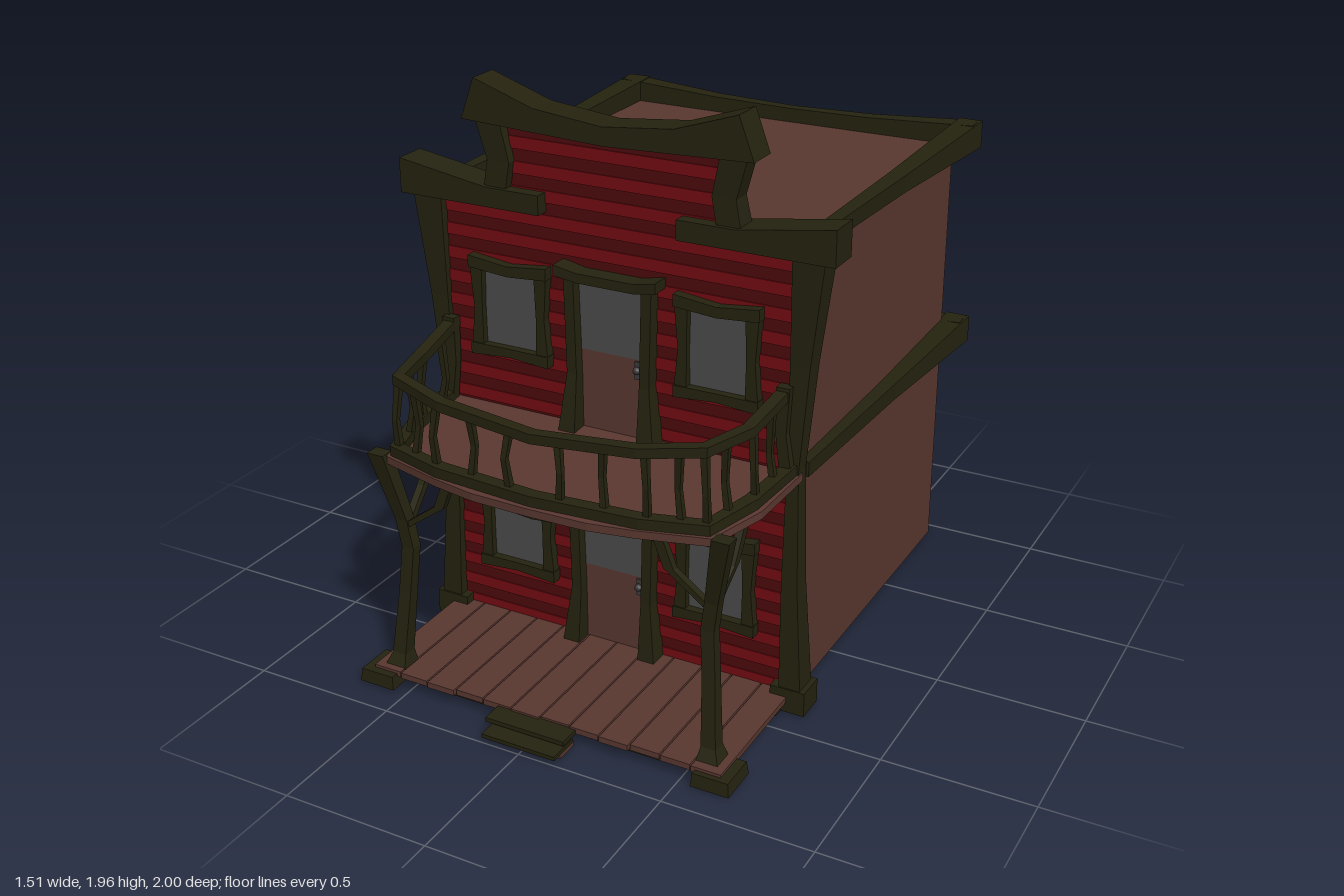
import * as THREE from 'three';

const mat = (name, color) => {
  const m = new THREE.MeshStandardMaterial({ color });
  m.name = name;
  return m;
};

export function createModel() {
  const root = new THREE.Group();
  root.name = 'timberHouse';
  const wood = mat('brownWood', 0x5a3830);
  const trim = mat('darkTrim', 0x25230f);
  const red = mat('redSiding', 0x760c12);
  const darkRed = mat('darkRedSiding', 0x4f0a0d);
  const glass = mat('greyGlass', 0x4c4c4c);
  const metal = mat('greyMetal', 0x3c3c3e);

  const add = (name, geo, m) => {
    const mesh = new THREE.Mesh(geo, m);
    mesh.name = name;
    root.add(mesh);
    return mesh;
  };
  // box given by its limits
  const box = (name, m, x0, x1, y0, y1, z0, z1) =>
    add(name, new THREE.BoxGeometry(x1 - x0, y1 - y0, z1 - z0), m)
      .position.set((x0 + x1) / 2, (y0 + y1) / 2, (z0 + z1) / 2);

  // bent timber: stations [x, y, z, a, b]; upright: a = depth z, b = width x; lying: a = width, b = height
  const beam = (name, st, m = trim) => {
    const P = st.map(s => new THREE.Vector3(s[0], s[1], s[2]));
    const n = st.length;
    const chord = P[n - 1].clone().sub(P[0]);
    const upright = Math.abs(chord.y) > 0.5 * chord.length();
    const rings = st.map((s, i) => {
      const t = P[Math.min(i + 1, n - 1)].clone().sub(P[Math.max(i - 1, 0)]).setY(0).normalize();
      const v = upright ? new THREE.Vector3(1, 0, 0) : new THREE.Vector3(0, 1, 0);
      const u = upright ? new THREE.Vector3(0, 0, 1) : v.clone().cross(t);
      return [[-1, -1], [1, -1], [1, 1], [-1, 1]].map(([a, b]) =>
        P[i].clone().addScaledVector(u, a * s[3] / 2).addScaledVector(v, b * s[4] / 2));
    });
    const pts = [];
    const quad = (a, b, c, d) => pts.push(a, b, c, a, c, d);
    for (let i = 0; i < n - 1; i++)
      for (let j = 0; j < 4; j++) {
        const k = (j + 1) % 4;
        quad(rings[i][j], rings[i][k], rings[i + 1][k], rings[i + 1][j]);
      }
    const [f, l] = [rings[0], rings[n - 1]];
    quad(f[3], f[2], f[1], f[0]);
    quad(l[0], l[1], l[2], l[3]);
    const g = new THREE.BufferGeometry().setFromPoints(pts);
    g.computeVertexNormals();
    return add(name, g, m);
  };

  // flat outline in x, y extruded between two depths
  const slab = (name, m, outline, z0, z1) => {
    const shape = new THREE.Shape(outline.map(p => new THREE.Vector2(...p)));
    const g = new THREE.ExtrudeGeometry(shape, { depth: z1 - z0, bevelEnabled: false });
    return add(name, g.translate(0, 0, z0), m);
  };

  // main body and the back of the false front
  box('body', wood, -0.62, 0.62, 0.01, 1.54, -0.93, 0.34);
  box('gableBack', wood, -0.4, 0.4, 1.53, 1.82, 0.335, 0.35);

  // clapboard siding
  for (let y = 0.05, i = 0; y < 1.81; y += 0.04, i++) {
    const w = y > 1.53 ? 0.4 : 0.62, lit = i % 2 === 0;
    box('sidingBoard', lit ? red : darkRed, -w, w, y, Math.min(y + 0.04, 1.82), 0.34, lit ? 0.372 : 0.368);
  }

  // belts round the sides and back at both floors
  for (const y of [0.835, 1.565]) {
    for (const s of [-1, 1])
      beam('sideBelt', [[s * 0.632, y, 0.32, 0.04, 0.05], [s * 0.64, y, -0.35, 0.06, 0.058], [s * 0.658, y + 0.003, -1, 0.085, 0.095]]);
    beam('backBelt', [[-0.69, y + 0.003, -0.96, 0.08, 0.095], [-0.3, y, -0.945, 0.055, 0.06], [0, y, -0.94, 0.045, 0.05],
      [0.3, y, -0.945, 0.055, 0.06], [0.69, y + 0.003, -0.96, 0.08, 0.095]]);
  }

  for (const s of [-1, 1]) {
    // front corner posts
    box('cornerBase', trim, Math.min(s * 0.58, s * 0.7), Math.max(s * 0.58, s * 0.7), 0.005, 0.09, 0.305, 0.41);
    beam('cornerPost', [[s * 0.645, 0.08, 0.36, 0.09, 0.075], [s * 0.63, 0.45, 0.36, 0.07, 0.055], [s * 0.625, 0.85, 0.355, 0.055, 0.04],
      [s * 0.643, 1.2, 0.355, 0.07, 0.065], [s * 0.665, 1.55, 0.355, 0.09, 0.105]]);
    // sloping shoulder trim
    const shoulder = [[0.755, 1.655], [0.43, 1.605], [0.24, 1.605], [0.24, 1.54], [0.755, 1.54]];
    slab('shoulderTrim', trim, shoulder.map(([x, y]) => [s * x, y]), 0.3, 0.415);
    // gable posts
    beam('gablePost', [[s * 0.41, 1.58, 0.36, 0.08, 0.08], [s * 0.39, 1.69, 0.365, 0.07, 0.08], [s * 0.425, 1.83, 0.37, 0.07, 0.09]]);
  }
  slab('gableCap', trim, [[-0.5, 1.82], [-0.25, 1.81], [0, 1.8], [0.25, 1.81], [0.5, 1.82], [0.45, 1.955], [0.24, 1.885],
    [0, 1.86], [-0.24, 1.885], [-0.45, 1.955]], 0.32, 0.43);

  // windows
  for (const y of [0.4, 1.185])
    for (const x of [-0.37, 0.37]) {
      box('windowGlass', glass, x - 0.11, x + 0.11, y - 0.125, y + 0.13, 0.37, 0.378);
      beam('windowHead', [[x - 0.145, y + 0.16, 0.38, 0.055, 0.04], [x, y + 0.145, 0.38, 0.05, 0.035], [x + 0.145, y + 0.16, 0.38, 0.055, 0.04]]);
      beam('windowSill', [[x - 0.145, y - 0.14, 0.38, 0.055, 0.04], [x, y - 0.135, 0.38, 0.05, 0.03], [x + 0.145, y - 0.14, 0.38, 0.055, 0.04]]);
      for (const s of [-1, 1])
        beam('windowJamb', [[x + s * 0.122, y - 0.14, 0.38, 0.045, 0.045], [x + s * 0.116, y, 0.38, 0.04, 0.03], [x + s * 0.12, y + 0.15, 0.38, 0.045, 0.045]]);
    }

  // doors
  for (const y of [0.06, 0.835]) {
    box('doorPanel', wood, -0.135, 0.135, y, y + 0.275, 0.37, 0.379);
    box('doorGlass', glass, -0.135, 0.135, y + 0.275, y + 0.52, 0.37, 0.379);
    beam('doorHead', [[-0.18, y + 0.545, 0.395, 0.08, 0.035], [-0.1, y + 0.53, 0.395, 0.07, 0.032], [0.1, y + 0.53, 0.395, 0.07, 0.032],
      [0.18, y + 0.545, 0.395, 0.08, 0.035]]);
    for (const s of [-1, 1])
      beam('doorJamb', [[s * 0.142, y, 0.4, 0.08, 0.06], [s * 0.13, y + 0.2, 0.39, 0.055, 0.035], [s * 0.138, y + 0.53, 0.39, 0.05, 0.035]]);
    box('doorPlate', metal, 0.08, 0.108, y + 0.21, y + 0.27, 0.379, 0.385);
    const knob = new THREE.SphereGeometry(0.013, 8, 6);
    add('doorKnob', knob, metal).position.set(0.092, y + 0.245, 0.395);
  }

  // porch planks, joists and steps
  for (let i = 0; i < 12; i++) {
    const x = -0.64 + i * 1.28 / 12;
    box('porchPlank', wood, x + 0.003, x + 1.28 / 12 - 0.003, 0.04, 0.06, 0.34, 0.868 + (i % 3) * 0.004);
  }
  for (const z of [0.45, 0.83]) box('porchJoist', trim, -0.63, 0.63, 0.022, 0.042, z - 0.02, z + 0.02);
  box('lowerStep', trim, -0.135, 0.13, 0.018, 0.032, 0.89, 1);
  box('upperStep', trim, -0.155, 0.13, 0.038, 0.053, 0.84, 0.945);
  for (const x of [-0.105, 0.09]) box('stepBlock', wood, x - 0.037, x + 0.037, 0, 0.02, 0.88, 0.96);

  // porch posts with braces
  for (const s of [-1, 1]) {
    beam('porchPostFoot', [[s * 0.61, 0.005, 0.83, 0.14, 0.13], [s * 0.61, 0.05, 0.83, 0.13, 0.12]]);
    beam('porchPost', [[s * 0.575, 0.04, 0.81, 0.085, 0.085], [s * 0.568, 0.1, 0.8, 0.05, 0.05], [s * 0.552, 0.32, 0.775, 0.04, 0.045],
      [s * 0.54, 0.48, 0.762, 0.04, 0.045], [s * 0.555, 0.58, 0.768, 0.04, 0.045], [s * 0.605, 0.82, 0.81, 0.05, 0.06]]);
    beam('sideBrace', [[s * 0.55, 0.55, 0.76, 0.03, 0.025], [s * 0.56, 0.65, 0.65, 0.035, 0.025], [s * 0.56, 0.815, 0.55, 0.035, 0.025]]);
    beam('frontBrace', [[s * 0.54, 0.56, 0.77, 0.025, 0.03], [s * 0.41, 0.655, 0.77, 0.025, 0.035], [s * 0.35, 0.81, 0.77, 0.025, 0.035]]);
  }

  // balcony floor, dipping towards the front
  const floorY = z => 0.812 + (0.905 - z) * 0.055;
  const both = half => [...half, ...half.slice(0, -1).reverse().map(([x, ...r]) => [-x, ...r])];
  const edge = both([[-0.65, 0.36], [-0.635, 0.62], [-0.57, 0.82], [-0.35, 0.875], [-0.2, 0.9], [0, 0.905]]);
  const floor = new THREE.ExtrudeGeometry(new THREE.Shape(edge.map(p => new THREE.Vector2(...p))), { depth: 0.026, bevelEnabled: false });
  floor.rotateX(Math.PI / 2);
  const pos = floor.attributes.position;
  for (let i = 0; i < pos.count; i++) pos.setY(i, pos.getY(i) + floorY(pos.getZ(i)));
  floor.computeVertexNormals();
  add('balconyFloor', floor, wood);
  beam('balconyUnderBeam', [[-0.4, 0.79, 0.83, 0.03, 0.025], [0, 0.778, 0.865, 0.03, 0.025], [0.4, 0.79, 0.83, 0.03, 0.025]]);

  // balcony kerb and handrail
  const path = both([[-0.6, 0.37, 1.115], [-0.58, 0.6, 1.07], [-0.53, 0.785, 1.075], [-0.34, 0.835, 1.05], [0, 0.86, 1.03]]);
  beam('balconyKerb', path.map(([x, z]) => [x * 1.03, floorY(z) + 0.016, z + 0.01, 0.045, 0.034]));
  beam('balconyRail', path.map(([x, z, y]) => [x, y, z, 0.04, 0.032]));
  for (const s of [-1, 1])
    beam('railWallPost', [[s * 0.615, 0.84, 0.395, 0.035, 0.04], [s * 0.595, 0.98, 0.395, 0.03, 0.035], [s * 0.6, 1.135, 0.395, 0.035, 0.045]]);

  // crooked balusters
  const spots = [[0.592, 0.47, 1.09], [0.583, 0.58, 1.07], [0.557, 0.7, 1.07], [0.53, 0.785, 1.07], [0.46, 0.805, 1.06],
    [0.36, 0.83, 1.045], [0.23, 0.845, 1.035], [0.085, 0.855, 1.025]];
  spots.forEach(([x, z, y], i) => {
    for (const s of [-1, 1]) {
      const bend = i % 2 ? 0.012 : -0.008;
      beam('baluster', [[s * x * 1.02, floorY(z), z, 0.022, 0.022], [s * (x + bend), 0.94, z + bend, 0.018, 0.018], [s * x, y, z, 0.022, 0.022]]);
    }
  });
  return root;
}
